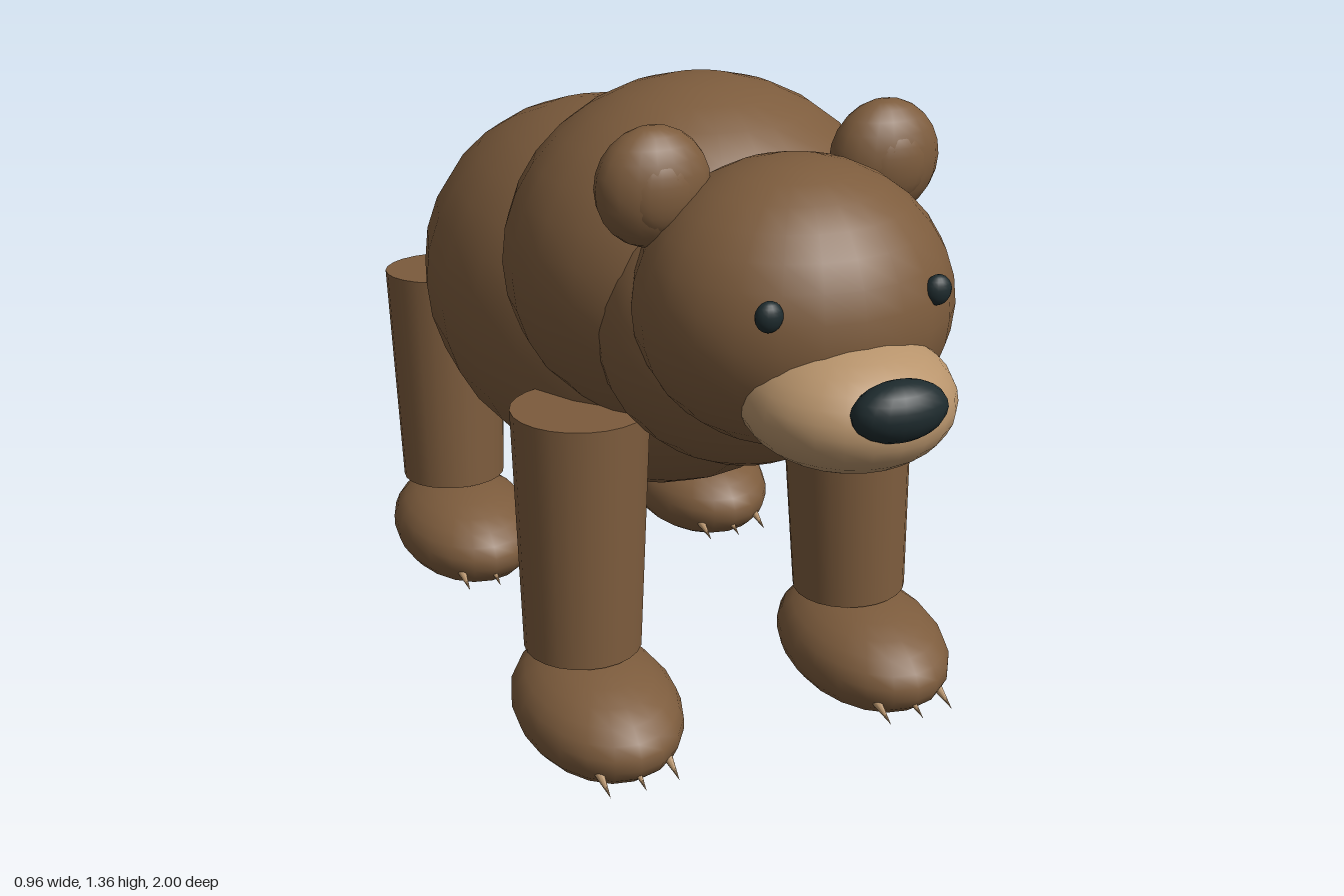
import * as THREE from 'three';

export function createModel() {
  const bear = new THREE.Group();
  bear.name = 'bear';

  const material = (name, color) => {
    const m = new THREE.MeshStandardMaterial({ color });
    m.name = name;
    return m;
  };
  const fur = material('brown fur', 0x7d5c3d);
  const tan = material('tan', 0xb8946c);
  const dark = material('dark nose and eyes', 0x1e2b2e);

  const add = (parent, name, geometry, mat, position) => {
    const mesh = new THREE.Mesh(geometry, mat);
    mesh.name = name;
    mesh.position.set(...position);
    parent.add(mesh);
    return mesh;
  };
  // Ellipsoid from its centre and three radii
  const ellipsoid = (parent, name, mat, position, radii, segments = 24) =>
    add(parent, name, new THREE.SphereGeometry(1, segments, Math.round(segments * 0.67)).scale(...radii), mat, position);

  // Trunk, shoulders, neck, head and tail
  ellipsoid(bear, 'body', fur, [0, 0.805, -0.24], [0.43, 0.405, 0.64]);
  ellipsoid(bear, 'shoulders', fur, [0, 1.0, 0.15], [0.4, 0.362, 0.38]);
  ellipsoid(bear, 'neck', fur, [0, 0.95, 0.38], [0.31, 0.3, 0.285]);
  ellipsoid(bear, 'head', fur, [0, 1.038, 0.56], [0.3, 0.268, 0.28]);
  ellipsoid(bear, 'tail', fur, [0, 0.887, -0.9], [0.102, 0.098, 0.1], 18);

  // Face
  ellipsoid(bear, 'muzzle', tan, [0, 0.93, 0.77], [0.193, 0.12, 0.2]);
  ellipsoid(bear, 'nose', dark, [0, 0.973, 0.95], [0.09, 0.054, 0.05], 18);
  for (const side of [-1, 1]) {
    ellipsoid(bear, 'eye', dark, [side * 0.164, 1.108, 0.788], [0.026, 0.028, 0.019], 16);
    ellipsoid(bear, 'ear', fur, [side * 0.236, 1.253, 0.463], [0.11, 0.112, 0.073], 18);
    ellipsoid(bear, 'innerEar', fur, [side * 0.237, 1.25, 0.505], [0.067, 0.072, 0.033], 18);
  }

  // Legs, each with a foot and three claws; z is the foot centre
  const makeLeg = (name, side, z, legZ, tilt) => {
    const leg = new THREE.Group();
    leg.name = name;
    const shank = add(leg, 'leg', new THREE.CylinderGeometry(0.14, 0.122, 0.52, 24), fur, [side * 0.306, 0.486, legZ]);
    shank.rotation.set(-tilt, 0, side * 0.025);
    ellipsoid(leg, 'foot', fur, [side * 0.312, 0.118, z], [0.167, 0.112, 0.245], 20);
    for (const i of [-1, 0, 1]) {
      const claw = add(leg, 'claw', new THREE.ConeGeometry(0.013, 0.08, 8), tan,
        [side * 0.312 + i * 0.073, 0.086, z + (i ? 0.222 : 0.228)]);
      claw.rotation.x = Math.PI / 2 + 0.3;
    }
    bear.add(leg);
  };
  for (const side of [-1, 1]) {
    makeLeg('frontLeg', side, 0.335, 0.255, 0.045);
    makeLeg('hindLeg', side, -0.545, -0.635, 0.075);
  }

  return bear;
}
